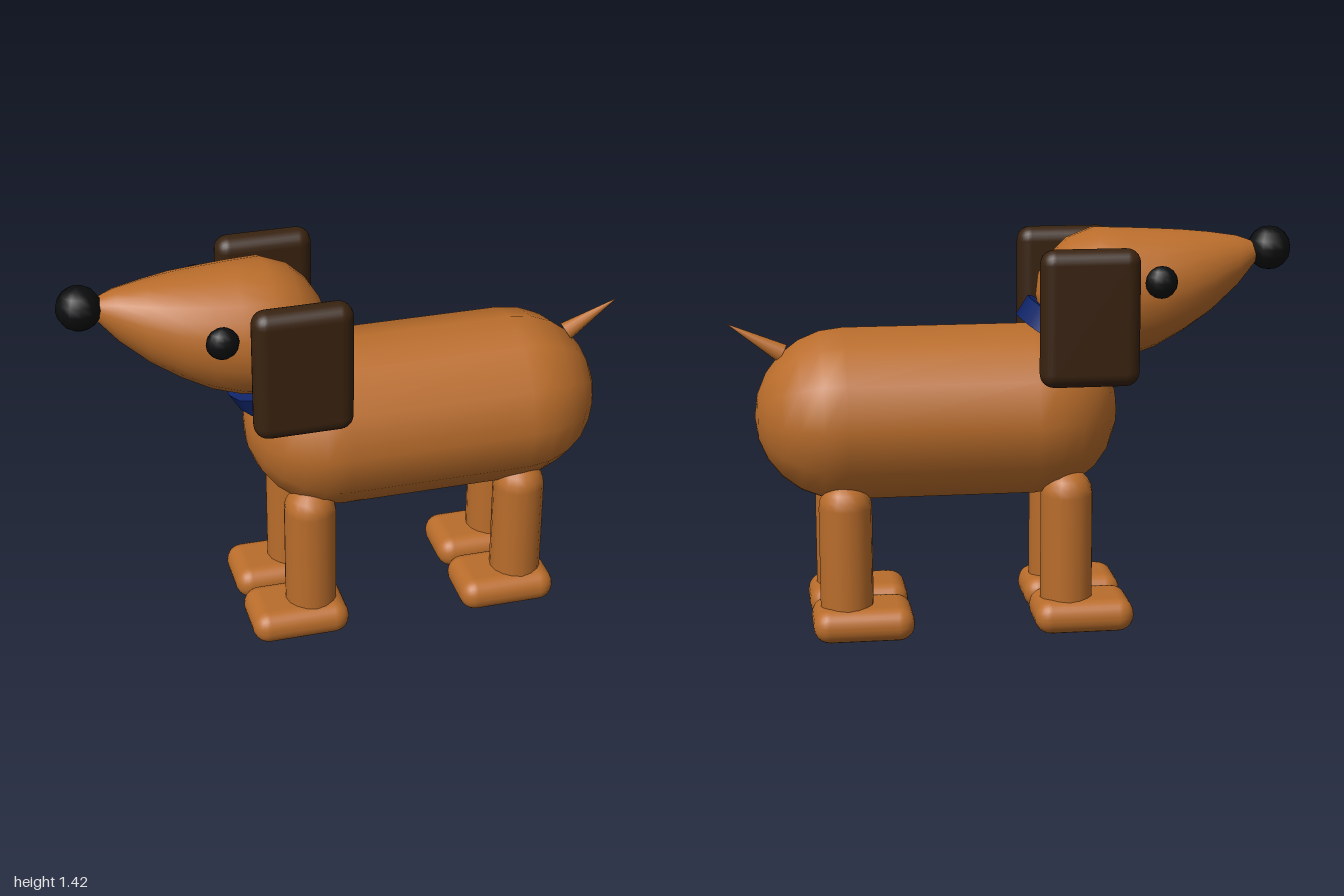
import * as THREE from 'three';
import { mergeVertices } from 'three/addons/utils/BufferGeometryUtils.js';
import { RoundedBoxGeometry } from 'three/addons/geometries/RoundedBoxGeometry.js';

const paint = (color) => new THREE.MeshStandardMaterial({ color });

// Head cross-sections from muzzle to back of skull: x, top y, bottom y, half width
const HEAD = [
  [-0.89, 1.331, 1.329, 0.001], [-0.87, 1.36, 1.29, 0.035], [-0.8, 1.385, 1.205, 0.085],
  [-0.7, 1.4, 1.115, 0.14], [-0.6, 1.41, 1.05, 0.19], [-0.5, 1.416, 0.995, 0.215],
  [-0.4, 1.421, 0.963, 0.235], [-0.29, 1.425, 0.953, 0.24], [-0.2, 1.39, 0.985, 0.213],
  [-0.14, 1.335, 1.045, 0.16], [-0.1, 1.27, 1.11, 0.1], [-0.083, 1.191, 1.189, 0.001],
];

// An open tube whose rings are moved onto the cross-sections
function headGeometry() {
  const rows = HEAD.length - 1;
  let geo = new THREE.CylinderGeometry(1, 1, 1, 24, rows, true);
  geo.rotateZ(Math.PI / 2);
  const p = geo.attributes.position;
  for (let i = 0; i < p.count; i++) {
    const [x, top, bottom, half] = HEAD[Math.round((p.getX(i) + 0.5) * rows)];
    p.setXYZ(i, x, (top + bottom) / 2 + p.getY(i) * (top - bottom) / 2, p.getZ(i) * half);
  }
  geo.deleteAttribute('uv');
  geo.deleteAttribute('normal');
  geo = mergeVertices(geo, 1e-5);
  geo.computeVertexNormals();
  return geo;
}

export function createModel() {
  const dog = new THREE.Group();
  dog.name = 'dog';
  const coat = paint(0xba6d2b);
  const earBrown = paint(0x38220f);
  const black = paint(0x0b0c0d);
  const blue = paint(0x0f2468);

  const add = (name, geometry, material, x, y, z) => {
    const mesh = new THREE.Mesh(geometry, material);
    mesh.name = name;
    mesh.position.set(x, y, z);
    dog.add(mesh);
    return mesh;
  };

  // Long capsule body, lying along x
  const body = new THREE.CapsuleGeometry(0.31, 0.66, 6, 12);
  body.rotateZ(Math.PI / 2);
  const bodyMesh = add('body', body, coat, 0.27, 0.78, -0.005);
  bodyMesh.rotation.x = 0;

  // Head, nose and eyes
  add('head', headGeometry(), coat, 0, 0, 0);
  add('nose', new THREE.SphereGeometry(0.078, 12, 8), black, -0.922, 1.338, 0.005);
  for (const side of [1, -1]) {
    const name = side > 0 ? 'left' : 'right';
    const eye = add(name + 'Eye', new THREE.SphereGeometry(0.057, 12, 8), black, -0.485, 1.262, side * 0.235 - 0.004);
    eye.scale.z = 0.72;
    add(name + 'Ear', new RoundedBoxGeometry(0.345, 0.475, 0.105, 3, 0.05), earBrown, -0.228, 1.153, side * 0.288 - 0.003);
  }

  // Tilted collar
  const collar = add('collar', new THREE.CylinderGeometry(0.222, 0.222, 0.078, 18), blue, -0.225, 1.032, 0);
  collar.rotation.z = 0.56;

  // Tail cone, aimed up and back
  const root = new THREE.Vector3(0.81, 1.002, 0);
  const tip = new THREE.Vector3(1, 1.112, 0);
  const dir = tip.clone().sub(root);
  const mid = root.clone().add(tip).multiplyScalar(0.5);
  const tail = add('tail', new THREE.ConeGeometry(0.034, dir.length(), 12), coat, mid.x, mid.y, mid.z);
  tail.quaternion.setFromUnitVectors(new THREE.Vector3(0, 1, 0), dir.normalize());

  // Legs with paws pointing forward
  for (const [end, x, top] of [['front', -0.173, 0.595], ['back', 0.607, 0.575]]) {
    for (const [side, z] of [['Left', 0.137], ['Right', -0.151]]) {
      const leg = new THREE.CapsuleGeometry(0.093, top - 0.186, 5, 16);
      add(end + side + 'Leg', leg, coat, x, top / 2, z);
      add(end + side + 'Paw', new RoundedBoxGeometry(0.355, 0.12, 0.255, 3, 0.058), coat, x - 0.055, 0.07, z);
    }
  }
  return dog;
}
